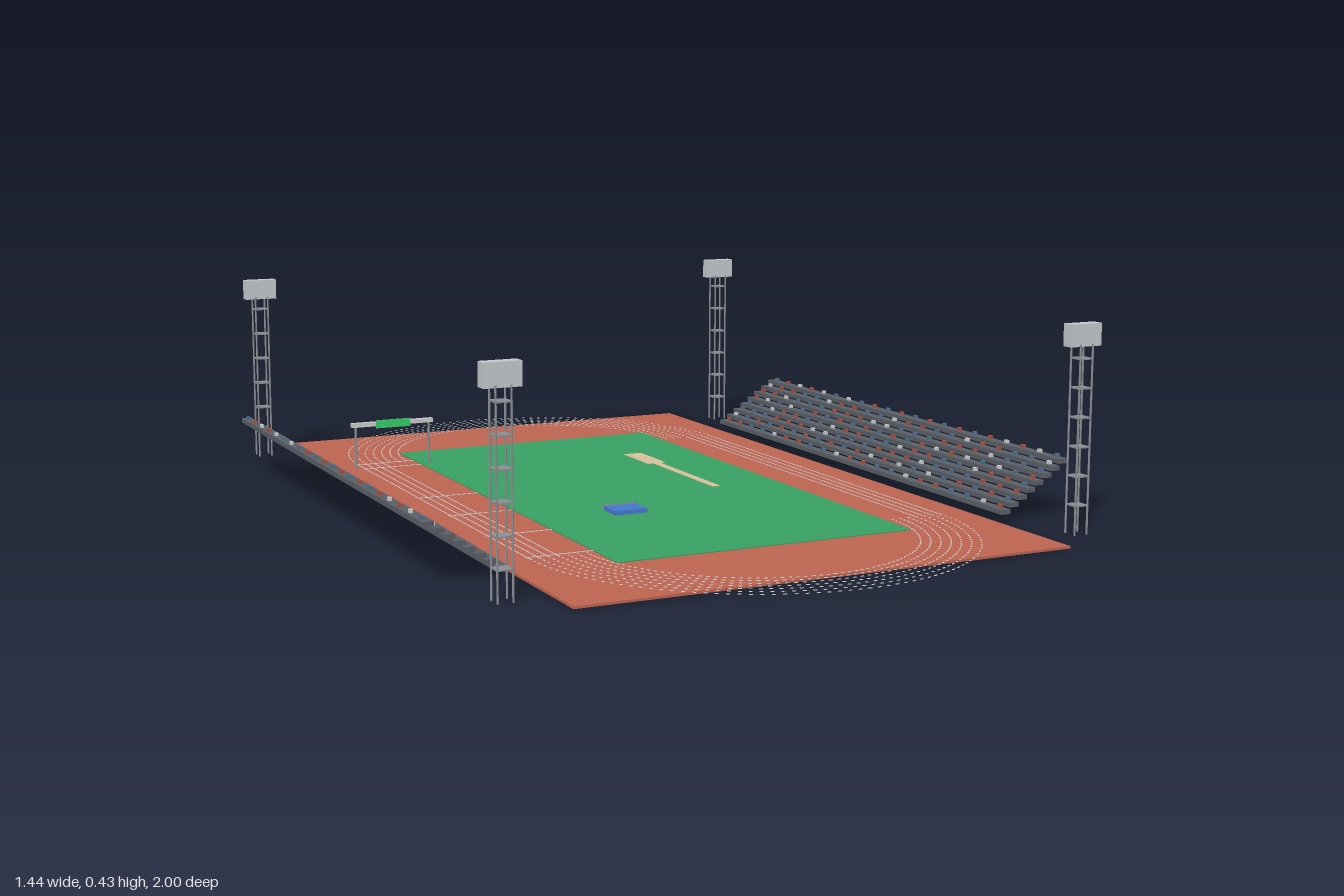
import * as THREE from 'three';
import { mergeGeometries } from 'three/addons/utils/BufferGeometryUtils.js';

const COLORS = {
  track: 0xbc6350, grass: 0x38a062, line: 0xe6e6e6, sand: 0xd6c09a, mat: 0x4478cc,
  steel: 0x8a8d92, lamp: 0xc4c8cc, bench: 0x5a5e66, board: 0x35cc6a,
  red: 0xa8503f, blue: 0x4f6f8f, grey: 0xcccccc,
};
const materials = {};
for (const key in COLORS) materials[key] = new THREE.MeshStandardMaterial({ color: COLORS[key] });

// Box given by its size and centre, optionally turned about y
function box(w, h, d, x, y, z, turn = 0) {
  return new THREE.BoxGeometry(w, h, d).rotateY(turn).translate(x, y, z);
}

function pole(r, y0, y1, x, z) {
  return new THREE.CylinderGeometry(r, r, y1 - y0, 8).translate(x, (y0 + y1) / 2, z);
}

function part(parent, name, color, ...geometries) {
  const mesh = new THREE.Mesh(mergeGeometries(geometries), materials[color]);
  mesh.name = name;
  parent.add(mesh);
}

function group(parent, name) {
  const g = new THREE.Group();
  g.name = name;
  parent.add(g);
  return g;
}

const TOP = 0.005; // top of the track slab

// Dashed lanes: half circles at both ends joined by straights
function addLanes(root) {
  const arcs = [], straights = [], marks = [];
  const centre = 0.53, dashes = 72;
  for (let lane = 0; lane < 7; lane++) {
    const r = 0.4685 - lane * 0.02;
    for (const end of [-1, 1]) {
      for (let i = 0; i <= dashes; i++) {
        const a = (i / dashes) * Math.PI;
        arcs.push(box(0.007, 0.001, 0.003, r * Math.cos(a), TOP + 0.001,
          end * (centre + r * Math.sin(a)), end * (Math.PI / 2 - a)));
      }
    }
    if (lane < 4) {
      for (const side of [-1, 1])
        straights.push(box(0.002, 0.001, 2 * centre, side * r, TOP + 0.0005, 0));
    }
  }
  // Start and finish lines across the left-hand straight
  for (const z of [-0.525, -0.47, -0.1, 0.1, 0.31, 0.515])
    marks.push(box(0.145, 0.001, 0.003, -0.402, TOP + 0.001, z));
  part(root, 'curvedLaneLines', 'line', ...arcs);
  part(root, 'straightLaneLines', 'line', ...straights);
  part(root, 'startLines', 'line', ...marks);
}

// Eight rising benches with small coloured seats
function addStand(root, side) {
  const stand = group(root, side > 0 ? 'leftStand' : 'rightStand');
  const benches = [], seats = { red: [], blue: [], grey: [] };
  const kinds = ['red', 'blue', 'grey', 'red', 'blue'];
  for (let row = 0; row < 8; row++) {
    const x = side * (0.566 + row * 0.0204);
    const y = 0.02 + row * 0.0138;
    benches.push(box(0.023, 0.01, 1.25, x, y, 0));
    for (let i = 0; i < 21; i++) {
      const kind = kinds[(i * 3 + row * 2 + (i * row) % 3) % kinds.length];
      seats[kind].push(box(0.007, 0.007, 0.01, x + side * 0.003, y + 0.0085, -0.6 + i * 0.06));
    }
  }
  part(stand, 'benches', 'bench', ...benches);
  for (const kind in seats) part(stand, kind + 'Seats', kind, ...seats[kind]);
}

// Four-legged lattice mast with a lamp panel
function addTower(root, sx, sz) {
  const tower = group(root, 'floodlightTower');
  const frame = [];
  for (const x of [-0.015, 0.015])
    for (const z of [-0.015, 0.015]) frame.push(pole(0.0022, 0, 0.39, x, z));
  for (let i = 1; i <= 6; i++) frame.push(box(0.032, 0.003, 0.032, 0, i * 0.06, 0));
  part(tower, 'mast', 'steel', ...frame);
  part(tower, 'lampPanel', 'lamp', box(0.074, 0.046, 0.026, 0, 0.408, 0));
  tower.position.set(sx * 0.627, 0, sz * 0.78);
}

export function createModel() {
  const root = new THREE.Group();
  root.name = 'athleticsStadium';

  // Ground
  part(root, 'trackSlab', 'track', box(1.07, TOP, 1.765, 0, TOP / 2, 0));
  part(root, 'grassField', 'grass', box(0.66, 0.002, 1.255, 0, TOP + 0.001, 0));
  addLanes(root);

  // Long jump
  part(root, 'sandPit', 'sand', box(0.046, 0.002, 0.135, 0.177, TOP + 0.002, -0.302));
  part(root, 'jumpRunway', 'sand', box(0.019, 0.002, 0.305, 0.177, TOP + 0.002, -0.082));

  // High jump
  const highJump = group(root, 'highJump');
  part(highJump, 'landingMat', 'mat', box(0.074, 0.01, 0.058, -0.121, 0.011, 0.222));
  part(highJump, 'jumpBar', 'steel',
    pole(0.0015, TOP, 0.022, -0.158, 0.191), pole(0.0015, TOP, 0.022, -0.084, 0.191),
    box(0.074, 0.002, 0.002, -0.121, 0.017, 0.191));

  // Finish gantry
  const gantry = group(root, 'finishGantry');
  part(gantry, 'gantryPosts', 'steel',
    pole(0.003, TOP, 0.106, -0.487, -0.485), pole(0.003, TOP, 0.106, -0.306, -0.485));
  part(gantry, 'gantryBeam', 'grey', box(0.2, 0.01, 0.012, -0.397, 0.109, -0.485));
  part(gantry, 'finishBoard', 'board', box(0.084, 0.019, 0.003, -0.397, 0.109, -0.4775));

  // Mirrored stands and floodlights
  for (const sx of [-1, 1]) {
    addStand(root, sx);
    for (const sz of [-1, 1]) addTower(root, sx, sz);
  }
  return root;
}
